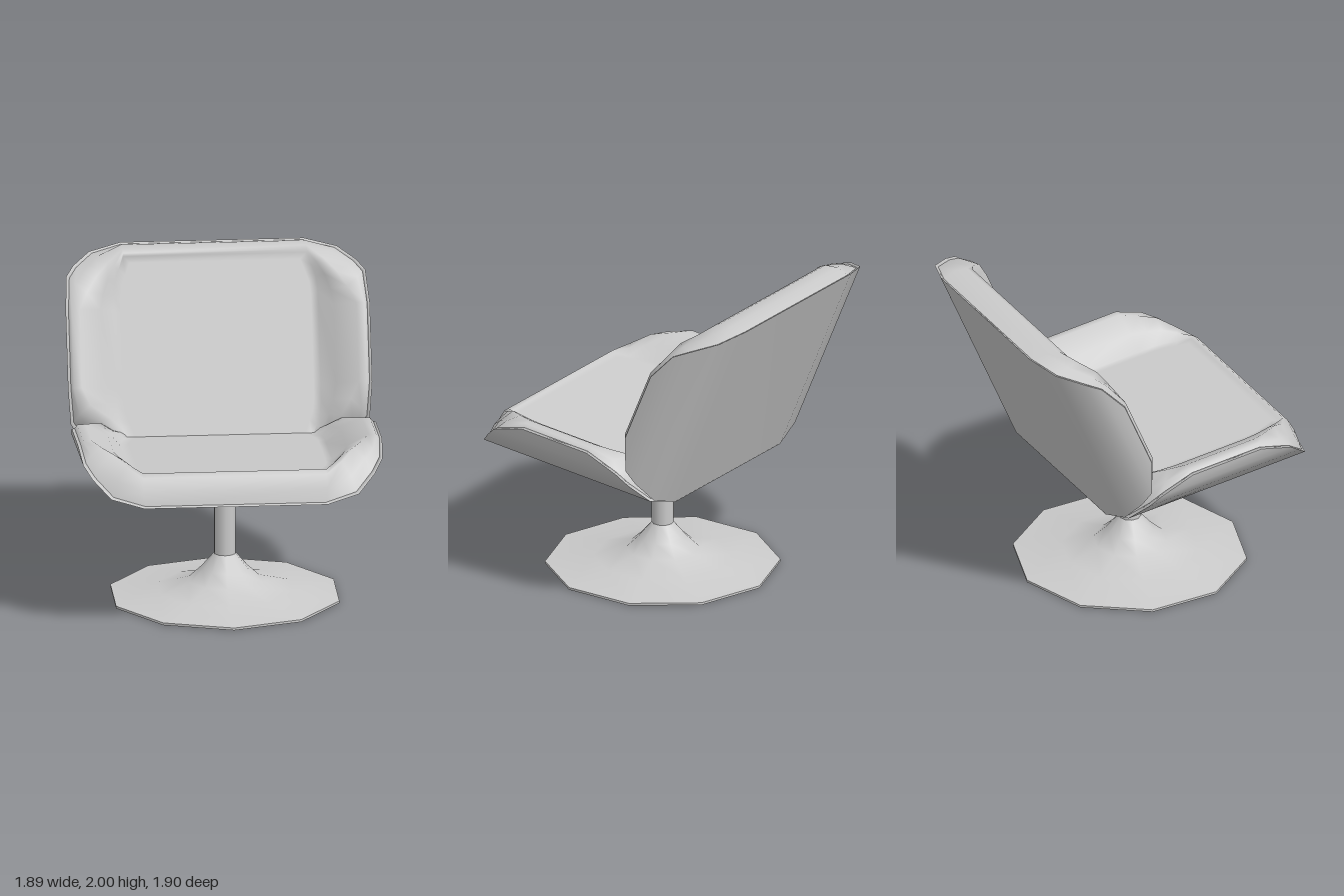
import * as THREE from 'three';

const material = new THREE.MeshStandardMaterial({ color: 0xcccccc, side: THREE.DoubleSide });

// Quarter outlines of one padded panel: [x, height, depth], from end edge round to side edge
const RIM = [[0.57, 0, 0.688], [0.77, 0.05, 0.63], [0.88, 0.16, 0.533], [0.93, 0.235, 0.46], [0.946, 0.315, 0.245]];
const CREST = [[0.57, 0.18, 0.627], [0.67, 0.24, 0.54], [0.75, 0.304, 0.446], [0.81, 0.325, 0.35], [0.86, 0.345, 0.245]];
const INNER = [[0.57, 0.19, 0.58], [0.6, 0.19, 0.5], [0.625, 0.19, 0.43], [0.635, 0.19, 0.34], [0.635, 0.19, 0.245]];

// Point-by-point blend of two outlines, with optional extra height and outward growth
const blend = (a, b, t, lift = 0, grow = 1) => a.map((p, i) => {
  const [x, y, z] = p.map((v, k) => v + (b[i][k] - v) * t);
  return [x * grow, y + lift, z * grow];
});

// Mirror a quarter outline into a full loop: front edge left to right, back edge right to left
function fullLoop(quarter) {
  const front = [...quarter].reverse().map(([x, y, z]) => [-x, y, z]).concat(quarter);
  return front.concat([...front].reverse().map(([x, y, z]) => [x, y, -z]));
}

// Join nested loops into a surface and close the last loop with front-to-back strips
function loopSurface(quarters, faceDown = false) {
  const loops = quarters.map(fullLoop);
  const n = loops[0].length;
  const index = [];
  const quad = (a, b, c, d) => index.push(...(faceDown ? [a, c, b, a, d, c] : [a, b, c, a, c, d]));
  for (let r = 0; r < loops.length - 1; r++) {
    for (let i = 0; i < n; i++) {
      const j = (i + 1) % n;
      quad(r * n + i, r * n + j, (r + 1) * n + j, (r + 1) * n + i);
    }
  }
  const last = (loops.length - 1) * n;
  for (let i = 0; i < n / 2 - 1; i++) quad(last + i, last + i + 1, last + n - 2 - i, last + n - 1 - i);
  const geometry = new THREE.BufferGeometry();
  geometry.setAttribute('position', new THREE.Float32BufferAttribute(loops.flat(2), 3));
  geometry.setIndex(index);
  geometry.computeVertexNormals();
  return geometry;
}

function addMesh(parent, name, geometry) {
  const mesh = new THREE.Mesh(geometry, material);
  mesh.name = name;
  parent.add(mesh);
  return mesh;
}

// Curved shell with a thin lip and a cushion with raised side rolls
function createPanel(name) {
  const panel = new THREE.Group();
  panel.name = name;
  const seam = blend(RIM, CREST, 0.04, 0.005, 0.985);
  addMesh(panel, name + 'Shell', loopSurface([RIM], true));
  addMesh(panel, name + 'Lip', loopSurface([RIM, seam]));
  addMesh(panel, name + 'Cushion', loopSurface([
    seam,
    blend(RIM, CREST, 0.5, 0.012, 1.008),
    CREST,
    blend(CREST, INNER, 0.6, 0.02),
    INNER,
    blend(INNER, INNER, 0, 0, 0.93),
  ]));
  return panel;
}

export function createModel() {
  const chair = new THREE.Group();
  chair.name = 'swivelChair';

  // Seat, tilted slightly back
  const seat = createPanel('seat');
  seat.position.set(0, 0.785, 0.265);
  seat.rotation.x = -0.095;
  chair.add(seat);

  // Mounting plate under the seat
  const plate = addMesh(seat, 'mountingPlate', new THREE.CylinderGeometry(0.347, 0.347, 0.03, 20));
  plate.position.set(0, -0.012, -0.185);

  // Backrest, the same panel stood upright
  const backrest = createPanel('backrest');
  backrest.position.set(0, 1.35, -0.685);
  backrest.rotation.x = 1.172;
  chair.add(backrest);

  // Ten-sided flared pedestal; repeated points keep the foot edge sharp
  const profile = [
    [0, 0], [0.73, 0], [0.73, 0], [0.73, 0.015], [0.73, 0.015], [0.43, 0.05],
    [0.23, 0.105], [0.15, 0.18], [0.069, 0.275], [0.069, 0.275], [0.069, 0.765],
  ].map(([r, y]) => new THREE.Vector2(r, y));
  const pedestal = addMesh(chair, 'pedestal', new THREE.LatheGeometry(profile, 10));
  pedestal.position.z = 0.072;

  return chair;
}
